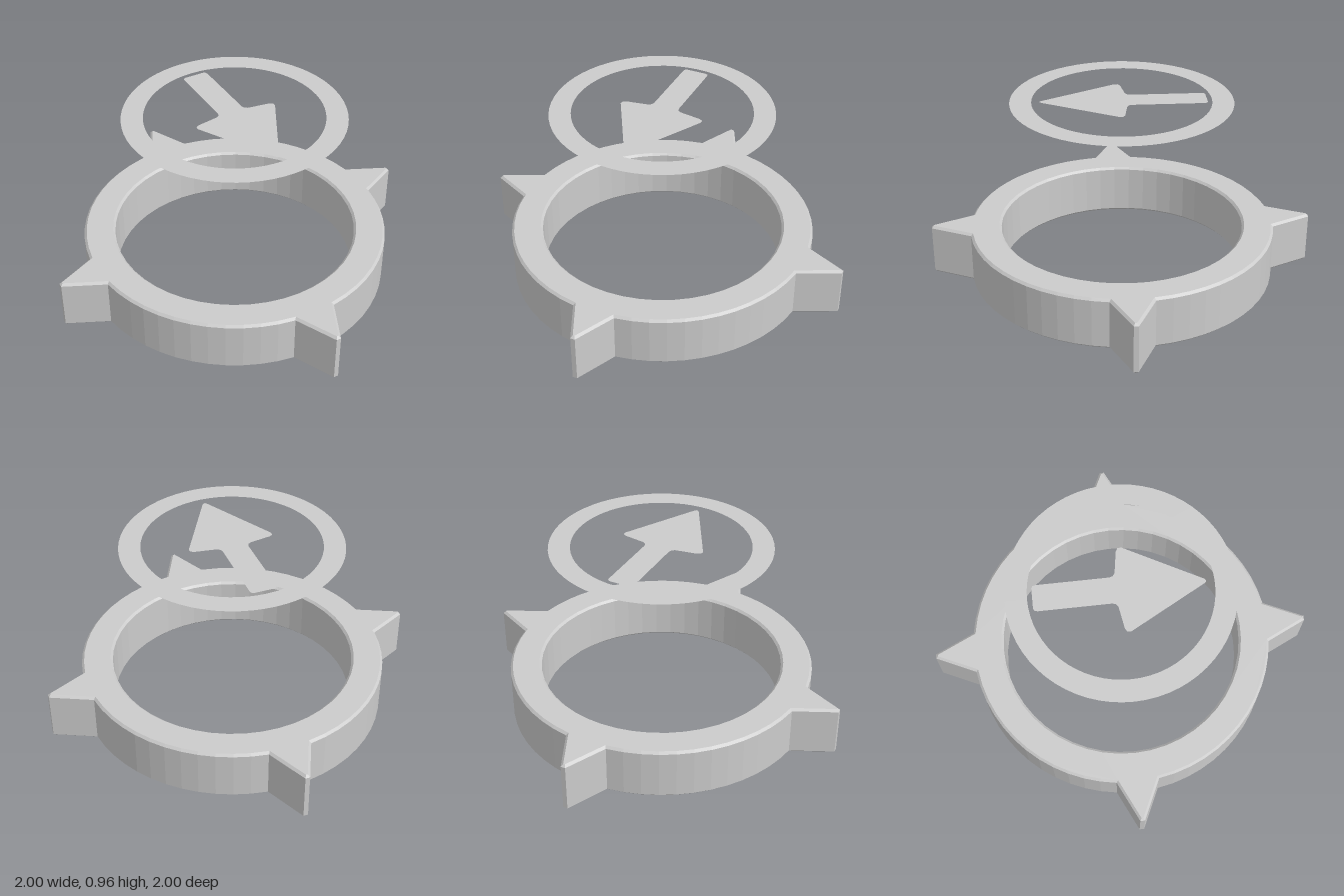
import * as THREE from 'three';

const BEVEL = 0.012;
const HEIGHT = 0.275;
const DISC_Y = 0.957;

// Outer outline: a circle interrupted by four truncated spikes
function spikedOutline() {
  const points = [];
  const radius = 0.798, baseAngle = 0.139, steps = 12;
  const polar = (r, a) => points.push(new THREE.Vector2(r * Math.cos(a), r * Math.sin(a)));
  for (let q = 0; q < 4; q++) {
    const mid = q * Math.PI / 2;
    polar(1, mid - 0.012);
    polar(1, mid + 0.012);
    for (let i = 0; i <= steps; i++) {
      polar(radius, mid + baseAngle + (Math.PI / 2 - 2 * baseAngle) * i / steps);
    }
  }
  return new THREE.Shape(points);
}

function circlePath(radius, segments) {
  const points = [];
  for (let i = 0; i < segments; i++) {
    const a = -i / segments * Math.PI * 2;
    points.push(new THREE.Vector2(radius * Math.cos(a), radius * Math.sin(a)));
  }
  return new THREE.Path(points);
}

export function createModel() {
  const group = new THREE.Group();
  const solid = new THREE.MeshStandardMaterial({ color: 0xcccccc });
  const thin = new THREE.MeshStandardMaterial({ color: 0xcccccc, side: THREE.DoubleSide });

  function add(name, geometry, material) {
    const mesh = new THREE.Mesh(geometry, material);
    mesh.name = name;
    group.add(mesh);
  }

  // Chamfered base ring with four spikes
  const outline = spikedOutline();
  outline.holes.push(circlePath(0.635, 48));
  const base = new THREE.ExtrudeGeometry(outline, {
    depth: HEIGHT - 2 * BEVEL,
    bevelThickness: BEVEL,
    bevelSize: BEVEL,
    bevelOffset: -BEVEL,
    bevelSegments: 1,
  });
  base.rotateX(Math.PI / 2).translate(0, HEIGHT - BEVEL, 0);
  add('spikedBaseRing', base, solid);

  // Flat floating ring
  const ring = new THREE.RingGeometry(0.455, 0.565, 64);
  ring.rotateX(-Math.PI / 2).translate(0, DISC_Y, 0);
  add('floatingRing', ring, thin);

  // Flat arrow pointing to the front, mirrored from its left half
  const half = [
    [0.052, -0.43], [0.064, -0.424], [0.068, -0.41], [0.068, -0.05],
    [0.073, -0.033], [0.088, -0.022], [0.2, -0.004], [0.218, 0.006],
    [0.219, 0.025], [0.012, 0.405], [0.004, 0.413],
  ];
  const mirrored = half.map(([x, z]) => [-x, z]).reverse();
  const arrowShape = new THREE.Shape(
    [...half, ...mirrored].map(([x, z]) => new THREE.Vector2(x, -z)));
  const arrow = new THREE.ShapeGeometry(arrowShape);
  arrow.rotateX(-Math.PI / 2).translate(0, DISC_Y, 0);
  add('directionArrow', arrow, thin);

  return group;
}
